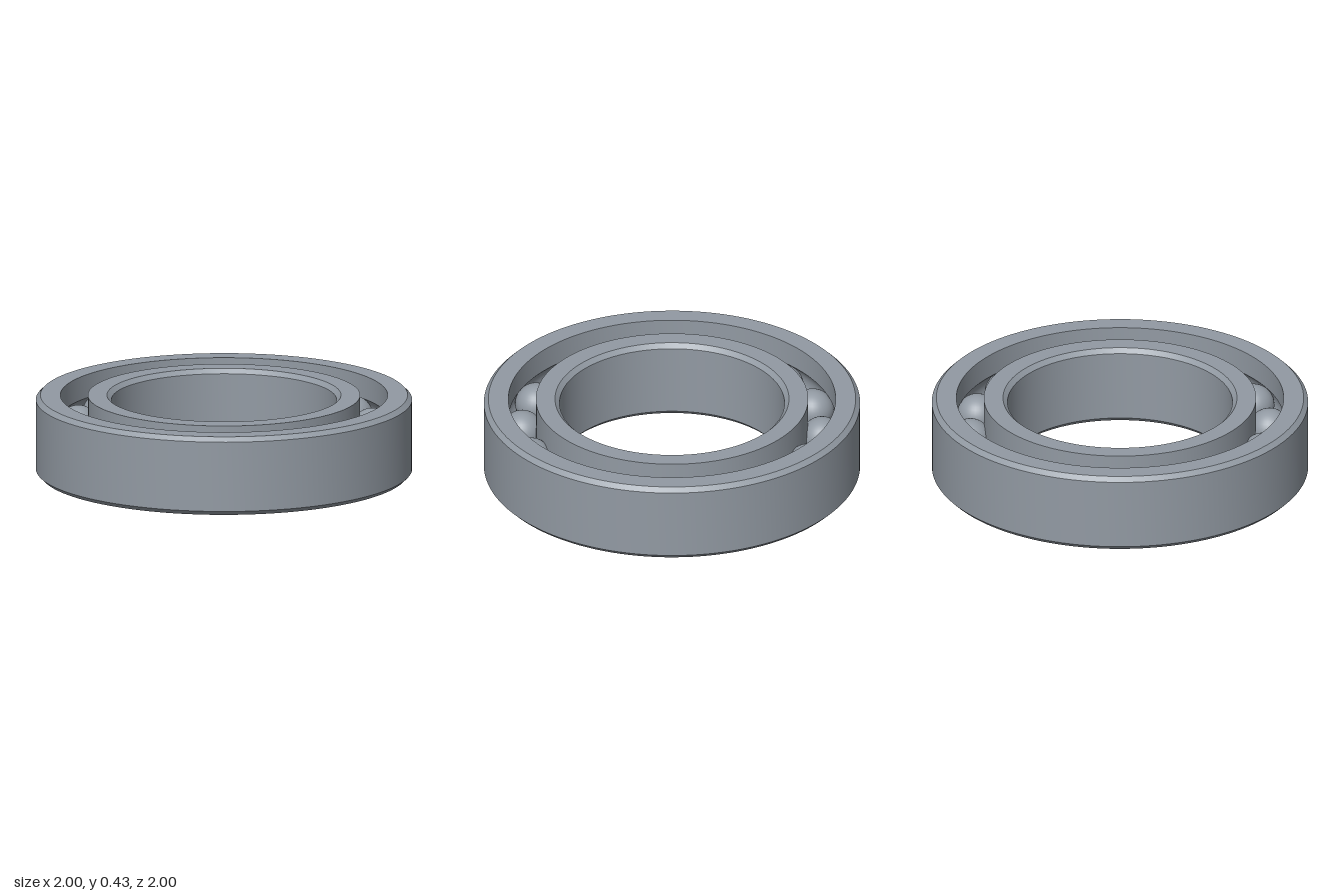
import * as THREE from 'three';
import { toCreasedNormals } from 'three/addons/utils/BufferGeometryUtils.js';

const HEIGHT = 0.426, MID = HEIGHT / 2;
const PITCH = 0.797;        // radius of the circle of ball centres
const BALL = 0.112;
const GROOVE = 0.113;       // radius of the raceway cross-section
const BALL_COUNT = 16;

// Raceway arc cut into a ring wall; side is +1 for the outer ring, -1 for the inner ring
function raceway(wall, side) {
  const half = Math.acos(Math.abs(wall - PITCH) / GROOVE);
  const points = [];
  for (let i = 0; i <= 14; i++) {
    const a = side * half * (1 - i / 7);
    points.push([PITCH + side * GROOVE * Math.cos(a), MID + side * GROOVE * Math.sin(a) * side * side]);
  }
  return points;
}

// Revolves a closed counter-clockwise profile, keeping its corners sharp
function ring(name, profile, material) {
  const points = [...profile, profile[0]].map(([r, y]) => new THREE.Vector2(r, y));
  const mesh = new THREE.Mesh(toCreasedNormals(new THREE.LatheGeometry(points, 128), Math.PI / 7), material);
  mesh.name = name;
  return mesh;
}

export function createModel() {
  const group = new THREE.Group();
  group.name = 'ballBearing';
  const steel = new THREE.MeshStandardMaterial({ color: 0x929aa3 });
  steel.name = 'steel';

  // Outer ring: chamfered outside, raceway on its inner wall (top to bottom)
  const c = 0.024, outerWall = 0.87;
  group.add(ring('outerRing', [
    [1 - c, 0], [1, c], [1, HEIGHT - c], [1 - c, HEIGHT], [outerWall, HEIGHT],
    ...raceway(outerWall, 1), [outerWall, 0],
  ], steel));

  // Inner ring: raceway on its outer wall (bottom to top), chamfered bore
  const innerWall = 0.724, bore = 0.598;
  group.add(ring('innerRing', [
    [innerWall, 0], ...raceway(innerWall, -1), [innerWall, HEIGHT],
    [bore + c, HEIGHT], [bore, HEIGHT - c], [bore, c], [bore + c, 0],
  ].map(([r, y]) => [r, y]), steel));

  // Balls evenly spaced between the rings
  const balls = new THREE.Group();
  balls.name = 'balls';
  const sphere = new THREE.SphereGeometry(BALL, 32, 20);
  for (let i = 0; i < BALL_COUNT; i++) {
    const a = THREE.MathUtils.degToRad(11.7) + (i / BALL_COUNT) * Math.PI * 2;
    const ball = new THREE.Mesh(sphere, steel);
    ball.name = 'ball';
    ball.position.set(PITCH * Math.cos(a), MID, PITCH * Math.sin(a));
    balls.add(ball);
  }
  group.add(balls);
  return group;
}
